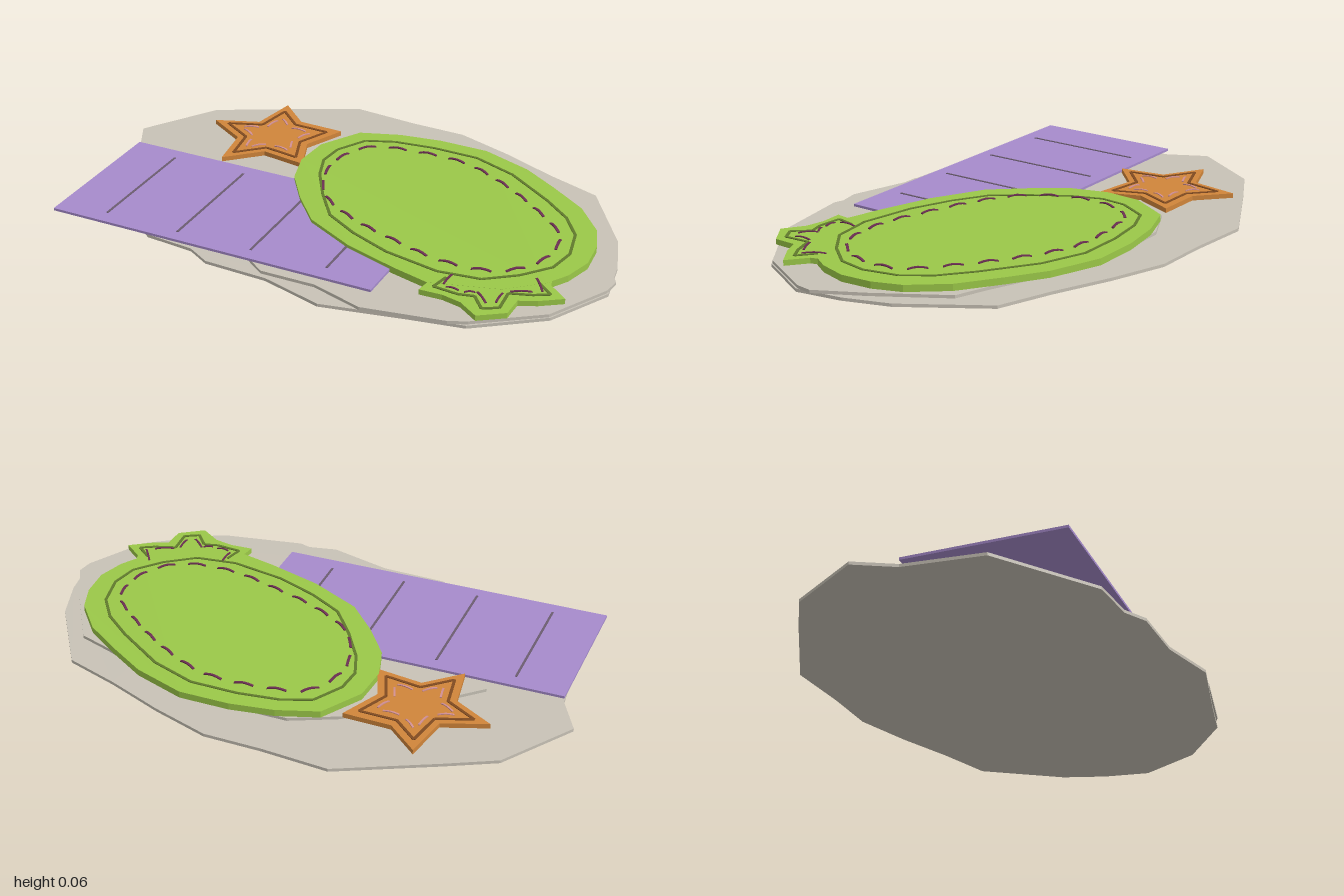
import * as THREE from 'three';

const mat = (name, color) => Object.assign(new THREE.MeshStandardMaterial({ color }), { name });

// Flat slab from an [x, z] outline between two heights
function slab(name, pts, y0, y1, material) {
  const shape = new THREE.Shape(pts.map(([x, z]) => new THREE.Vector2(x, -z)));
  const geo = new THREE.ExtrudeGeometry(shape, { depth: y1 - y0, bevelEnabled: false });
  geo.rotateX(-Math.PI / 2).translate(0, y0, 0);
  const mesh = new THREE.Mesh(geo, material);
  mesh.name = name;
  return mesh;
}

// Thin bar between two [x, z] points, optionally arched upwards
function bar(name, a, b, y, width, height, material, arch = 0) {
  const dx = b[0] - a[0], dz = b[1] - a[1], len = Math.hypot(dx, dz);
  const geo = new THREE.BoxGeometry(len, height, width, arch ? 4 : 1, 1, 1);
  const p = geo.attributes.position;
  if (arch) for (let i = 0; i < p.count; i++) p.setY(i, p.getY(i) + arch * Math.cos(Math.PI * p.getX(i) / len));
  geo.computeVertexNormals();
  const mesh = new THREE.Mesh(geo, material);
  mesh.position.set((a[0] + b[0]) / 2, y + height / 2, (a[1] + b[1]) / 2);
  mesh.rotation.y = -Math.atan2(dz, dx);
  mesh.name = name;
  return mesh;
}

// Bars along a path of points
function outline(name, pts, closed, y, material) {
  const g = new THREE.Group();
  g.name = name;
  const n = closed ? pts.length : pts.length - 1;
  for (let i = 0; i < n; i++) g.add(bar(name, pts[i], pts[(i + 1) % pts.length], y, 0.01, 0.003, material));
  return g;
}

const mix = (a, b, t) => [a[0] + (b[0] - a[0]) * t, a[1] + (b[1] - a[1]) * t];

export function createModel() {
  const root = new THREE.Group();
  root.name = 'patchworkPlaque';
  const stone = mat('stone', 0xc8c2b6);
  const purple = mat('purple', 0xa68bcc);
  const seam = mat('seamGrey', 0x6c5d70);
  const green = mat('green', 0x9bc848);
  const olive = mat('olive', 0x607a2c);
  const orange = mat('orange', 0xd0853a);
  const brown = mat('brown', 0x804a20);
  const plum = mat('plum', 0x6b2f52);
  const pink = mat('pink', 0xd08f92);

  // Two irregular stone layers
  root.add(slab('lowerStone', [
    [-1, -0.02], [-0.87, -0.3], [-0.72, -0.41], [-0.42, -0.62], [-0.18, -0.635], [0.025, -0.66], [0.24, -0.62],
    [0.455, -0.565], [0.66, -0.525], [0.875, -0.28], [0.95, -0.13], [1, 0.03], [0.915, 0.26], [0.72, 0.45],
    [0.54, 0.51], [0.26, 0.61], [0.03, 0.58], [-0.2, 0.605], [-0.29, 0.57], [-0.47, 0.58], [-0.84, 0.38], [-0.91, 0.105],
  ], 0, 0.011, stone));
  root.add(slab('upperStone', [
    [-0.66, 0.03], [-0.59, -0.06], [-0.32, -0.36], [-0.17, -0.46], [0.12, -0.5], [0.4, -0.46], [0.58, -0.415],
    [0.71, -0.39], [0.885, -0.18], [0.995, -0.03], [0.995, 0.03], [0.91, 0.26], [0.72, 0.44], [0.665, 0.475],
    [0.39, 0.565], [0.195, 0.535], [0, 0.565], [-0.06, 0.535], [-0.4, 0.36], [-0.58, 0.2],
  ], 0.011, 0.022, stone));

  // Plank panel with four seams
  root.add(slab('purplePanel', [[-0.91, 0.105], [-0.83, 0.655], [0.375, 0.475], [0.295, -0.075]], 0.025, 0.034, purple));
  for (const [x0, z0, x1, z1] of [
    [-0.72, 0.13, -0.655, 0.575], [-0.44, 0.085, -0.372, 0.54], [-0.165, 0.045, -0.095, 0.495], [0.11, 0, 0.18, 0.445],
  ]) root.add(bar('panelSeam', [x0, z0], [x1, z1], 0.034, 0.008, 0.002, seam));

  // Large green oval with an inner line
  root.add(slab('greenOval', [
    [-0.33, -0.24], [-0.265, -0.4], [-0.13, -0.47], [0.02, -0.515], [0.2, -0.54], [0.395, -0.5], [0.54, -0.435],
    [0.69, -0.36], [0.805, -0.255], [0.855, -0.16], [0.88, -0.05], [0.865, 0.055], [0.83, 0.135], [0.73, 0.25],
    [0.51, 0.35], [0.37, 0.335], [0.165, 0.3], [-0.035, 0.23], [-0.16, 0.125], [-0.265, 0.015], [-0.32, -0.105],
  ], 0.022, 0.046, green));
  root.add(outline('ovalLine', [
    [-0.255, -0.24], [-0.21, -0.355], [-0.115, -0.41], [0.03, -0.45], [0.2, -0.472], [0.37, -0.435], [0.565, -0.34],
    [0.68, -0.27], [0.76, -0.185], [0.805, -0.065], [0.8, 0.04], [0.735, 0.145], [0.645, 0.235], [0.5, 0.275],
    [0.295, 0.265], [0.135, 0.225], [0, 0.17], [-0.105, 0.065], [-0.2, -0.05], [-0.25, -0.145],
  ], true, 0.0455, olive));

  // Stitches around the oval
  const stitchPath = new THREE.CatmullRomCurve3([
    [-0.21, -0.17], [-0.17, -0.32], [-0.025, -0.38], [0.18, -0.41], [0.375, -0.355], [0.59, -0.245], [0.725, -0.145],
    [0.755, -0.035], [0.745, 0.055], [0.67, 0.165], [0.485, 0.215], [0.27, 0.19], [0.08, 0.15], [-0.09, 0.07], [-0.185, -0.065],
  ].map(([x, z]) => new THREE.Vector3(x, 0, z)), true);
  const stitches = 22;
  for (let i = 0; i < stitches; i++) {
    const a = stitchPath.getPointAt(i / stitches), b = stitchPath.getPointAt((i + 0.58) / stitches);
    root.add(bar('ovalStitch', [a.x, a.z], [b.x, b.z], 0.046, 0.009, 0.004, plum, 0.006));
  }

  // Small leaf at the front left of the oval
  root.add(slab('leaf', [
    [0.51, 0.3], [0.51, 0.4], [0.59, 0.385], [0.66, 0.39], [0.74, 0.43], [0.815, 0.36], [0.805, 0.28],
    [0.86, 0.245], [0.925, 0.185], [0.85, 0.14], [0.83, 0.1], [0.7, 0.2],
  ], 0.026, 0.0455, green));
  const leafLine = [
    [0.545, 0.29], [0.54, 0.36], [0.63, 0.355], [0.68, 0.335], [0.735, 0.385], [0.78, 0.35], [0.76, 0.26],
    [0.83, 0.225], [0.875, 0.19], [0.81, 0.15],
  ];
  root.add(outline('leafLine', leafLine, false, 0.0453, olive));
  for (const [x0, z0, x1, z1] of [
    [0.552, 0.265, 0.56, 0.33], [0.575, 0.34, 0.62, 0.335], [0.675, 0.31, 0.73, 0.35], [0.755, 0.33, 0.745, 0.27],
    [0.76, 0.25, 0.82, 0.21], [0.845, 0.19, 0.79, 0.13], [0.64, 0.335, 0.67, 0.315],
  ]) root.add(bar('leafStitch', [x0, z0], [x1, z1], 0.046, 0.007, 0.003, plum, 0.004));

  // Star with inner line and stitches
  const star = [
    [-0.625, -0.435], [-0.5, -0.35], [-0.33, -0.37], [-0.375, -0.215], [-0.3, -0.08],
    [-0.47, -0.08], [-0.57, 0.045], [-0.62, -0.115], [-0.775, -0.18], [-0.63, -0.26],
  ];
  const scaled = (k) => star.map((p) => mix([-0.515, -0.2], p, k));
  root.add(slab('star', star, 0.028, 0.045, orange));
  root.add(outline('starLine', scaled(0.78), true, 0.0445, brown));
  const inner = scaled(0.56);
  inner.forEach((p, i) => {
    const q = inner[(i + 1) % inner.length];
    root.add(bar('starStitch', mix(p, q, 0.12), mix(p, q, 0.72), 0.045, 0.007, 0.003, pink, 0.004));
  });
  return root;
}
